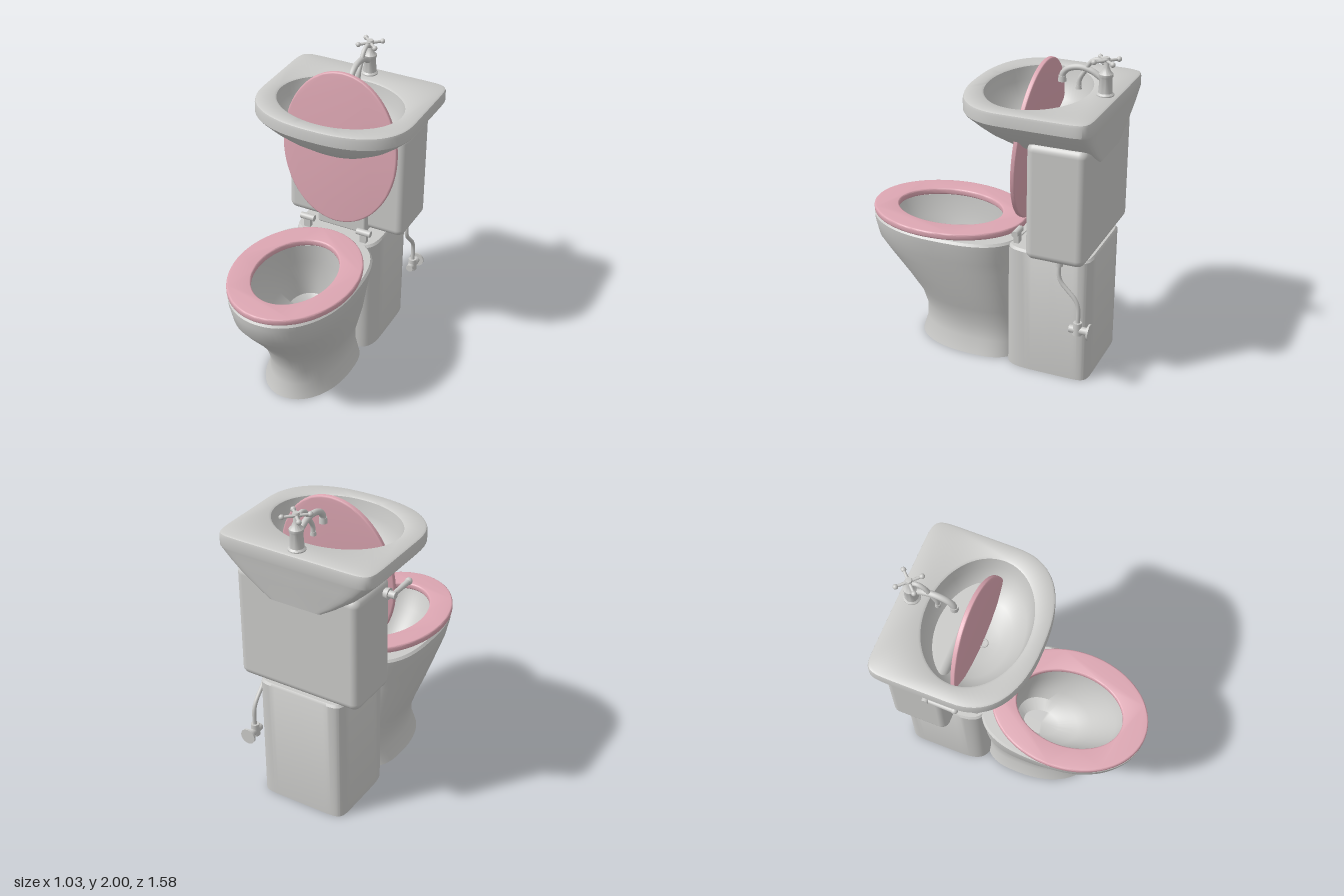
import * as THREE from 'three';
import { toCreasedNormals } from 'three/addons/utils/BufferGeometryUtils.js';
import { RoundedBoxGeometry } from 'three/addons/geometries/RoundedBoxGeometry.js';

const SEG = 72;

// Horizontal outline: half width w, back/middle/front z, corner squareness front and back
function ring([y, w, zb, zc, zf, nf, nb]) {
  const pts = [];
  const pow = (v, n) => Math.sign(v) * Math.pow(Math.abs(v), 2 / n);
  for (let j = 0; j < SEG; j++) {
    const t = (j / SEG) * Math.PI * 2, s = Math.sin(t);
    const n = s >= 0 ? nf : nb, depth = s >= 0 ? zf - zc : zc - zb;
    pts.push(w * pow(Math.cos(t), n), y, zc + depth * pow(s, n));
  }
  return pts;
}

// Skin through stacked outlines, closed at both ends
function loft(rows, crease = 0.6) {
  const pos = rows.flatMap(ring), index = [];
  for (let i = 0; i < rows.length - 1; i++) {
    for (let j = 0; j < SEG; j++) {
      const k = (j + 1) % SEG, a = i * SEG + j, b = i * SEG + k;
      index.push(a, a + SEG, b + SEG, a, b + SEG, b);
    }
  }
  const caps = [[rows[0], 0, false], [rows.at(-1), (rows.length - 1) * SEG, true]];
  for (const [row, base, up] of caps) {
    const c = pos.length / 3;
    pos.push(0, row[0], row[3]);
    for (let j = 0; j < SEG; j++) {
      const a = base + j, b = base + (j + 1) % SEG;
      index.push(c, up ? b : a, up ? a : b);
    }
  }
  const g = new THREE.BufferGeometry();
  g.setAttribute('position', new THREE.Float32BufferAttribute(pos, 3));
  g.setIndex(index);
  return toCreasedNormals(g, crease);
}

// Flat oval plate with softened rim, optionally with an oval hole
function ovalPlate(rx, ry, thick, hole) {
  const b = 0.01, shape = new THREE.Shape().absellipse(0, 0, rx - b, ry - b, 0, Math.PI * 2);
  if (hole) {
    shape.holes.push(new THREE.Path().absellipse(0, hole[2], hole[0] + b, hole[1] + b, 0, Math.PI * 2, true));
  }
  const g = new THREE.ExtrudeGeometry(shape, {
    depth: thick - 2 * b, bevelSize: b, bevelThickness: b, bevelSegments: 3, curveSegments: 36,
  });
  g.translate(0, 0, b - thick / 2);
  return toCreasedNormals(g, 0.6);
}

export function createModel() {
  const model = new THREE.Group();
  model.name = 'toiletWithBasin';
  const ceramic = new THREE.MeshStandardMaterial({ color: 0xcacac8 });
  ceramic.name = 'paleGrey';
  const pink = new THREE.MeshStandardMaterial({ color: 0xdca6b2 });
  pink.name = 'pink';

  const add = (name, geometry, material = ceramic, x = 0, y = 0, z = 0, parent = model) => {
    const m = new THREE.Mesh(geometry, material);
    m.name = name;
    m.position.set(x, y, z);
    parent.add(m);
    return m;
  };
  const cyl = (r0, r1, len, axis = 'y') => {
    const g = new THREE.CylinderGeometry(r1, r0, len, 24);
    if (axis === 'x') g.rotateZ(-Math.PI / 2);
    if (axis === 'z') g.rotateX(Math.PI / 2);
    return g;
  };
  const tube = (pts, r) => new THREE.TubeGeometry(
    new THREE.CatmullRomCurve3(pts.map(p => new THREE.Vector3(...p)), false, 'centripetal'), 40, r, 14);

  // Bowl: outside upward, over the rim, then down the inside
  add('bowl', loft([
    [0, 0.27, -0.25, 0.05, 0.47, 2.1, 3],
    [0.1, 0.235, -0.25, 0.05, 0.44, 2.1, 3],
    [0.2, 0.23, -0.25, 0.05, 0.44, 2.1, 3],
    [0.32, 0.265, -0.25, 0.08, 0.475, 2.1, 3],
    [0.45, 0.305, -0.25, 0.13, 0.57, 2.1, 3],
    [0.6, 0.34, -0.25, 0.2, 0.7, 2.1, 3],
    [0.68, 0.36, -0.25, 0.23, 0.763, 2.1, 3],
    [0.78, 0.38, -0.26, 0.25, 0.785, 2.1, 3],
    [0.815, 0.383, -0.26, 0.25, 0.787, 2.1, 3],
    [0.83, 0.37, -0.25, 0.25, 0.775, 2.1, 3],
    [0.83, 0.26, -0.07, 0.285, 0.645, 2, 2],
    [0.7, 0.245, -0.08, 0.25, 0.59, 2, 2],
    [0.55, 0.19, -0.08, 0.18, 0.44, 2, 2.4],
    [0.45, 0.15, -0.07, 0.12, 0.35, 2, 2.6],
    [0.4, 0.08, -0.02, 0.1, 0.22, 2, 2],
  ]));

  // Rear pedestal
  const foot = [-0.75, -0.5, -0.19, 5, 9];
  add('pedestal', loft([
    [0, 0.29, ...foot], [0.81, 0.29, ...foot], [0.825, 0.28, -0.74, -0.5, -0.2, 5, 9],
  ]));

  // Cistern and its raised front panel
  add('cistern', new RoundedBoxGeometry(0.82, 0.74, 0.37, 5, 0.05), ceramic, 0, 1.2, -0.565);
  add('cisternFrontPanel', new RoundedBoxGeometry(0.34, 0.62, 0.09, 3, 0.015), ceramic, 0, 1.13, -0.38);

  // Wash basin: underside, thick rim, then hollow
  add('basin', loft([
    [1.425, 0.19, -0.757, -0.42, -0.235, 2.4, 14],
    [1.485, 0.285, -0.764, -0.38, -0.12, 2.3, 14],
    [1.56, 0.385, -0.774, -0.32, -0.02, 2.3, 14],
    [1.62, 0.45, -0.782, -0.29, 0.045, 2.3, 14],
    [1.68, 0.508, -0.788, -0.27, 0.093, 2.4, 14],
    [1.69, 0.515, -0.79, -0.27, 0.1, 2.4, 14],
    [1.75, 0.515, -0.79, -0.27, 0.1, 2.4, 14],
    [1.764, 0.511, -0.786, -0.27, 0.096, 2.4, 14],
    [1.77, 0.5, -0.775, -0.27, 0.085, 2.4, 14],
    [1.77, 0.42, -0.625, -0.3, 0.02, 2, 2],
    [1.762, 0.407, -0.612, -0.3, 0.007, 2, 2],
    [1.68, 0.395, -0.6, -0.3, -0.005, 2, 2],
    [1.57, 0.35, -0.56, -0.3, -0.04, 2, 2],
    [1.5, 0.25, -0.48, -0.3, -0.12, 2, 2],
    [1.465, 0.14, -0.4, -0.3, -0.19, 2, 2],
    [1.452, 0.04, -0.33, -0.29, -0.25, 2, 2],
  ]));
  add('drain', new THREE.TorusGeometry(0.025, 0.006, 8, 24).rotateX(Math.PI / 2), ceramic, 0, 1.455, -0.28);

  // Seat and raised lid
  add('seat', ovalPlate(0.39, 0.505, 0.042, [0.245, 0.345, 0]).rotateX(Math.PI / 2), pink, 0, 0.855, 0.285);
  add('lid', ovalPlate(0.39, 0.507, 0.03), pink, 0, 1.435, -0.3).rotation.x = -0.09;

  // Hinges
  for (const s of [-1, 1]) {
    add('hingeBarrel', cyl(0.021, 0.021, 0.095, 'x'), ceramic, s * 0.2, 0.893, -0.255);
    add('hingePost', new THREE.BoxGeometry(0.045, 0.07, 0.032), ceramic, s * 0.2, 0.85, -0.255);
  }

  // Flush lever on the cistern's right side
  add('leverFlange', cyl(0.035, 0.03, 0.03, 'x'), ceramic, -0.425, 1.49, -0.45);
  add('leverStem', cyl(0.022, 0.022, 0.07, 'x'), ceramic, -0.445, 1.49, -0.45);
  add('lever', cyl(0.014, 0.018, 0.19, 'z'), ceramic, -0.46, 1.49, -0.365);
  add('leverTip', new THREE.SphereGeometry(0.022, 16, 12), ceramic, -0.46, 1.49, -0.27);

  // Water supply pipe and wall valve
  const px = 0.355;
  add('supplyPipe', tube([[px, 0.85, -0.585], [px, 0.74, -0.585], [px, 0.7, -0.6], [px, 0.6, -0.69],
    [px, 0.55, -0.71], [px, 0.4, -0.71]], 0.013));
  add('supplyNut', cyl(0.022, 0.022, 0.03), ceramic, px, 0.82, -0.585);
  add('valveBody', cyl(0.03, 0.026, 0.08), ceramic, px, 0.41, -0.71);
  add('valveStem', cyl(0.024, 0.024, 0.13, 'z'), ceramic, px, 0.4, -0.725);
  add('wallFlange', cyl(0.05, 0.05, 0.012, 'z'), ceramic, px, 0.4, -0.784);

  // Tap: body, two curved spouts and cross handle
  const tap = new THREE.Group();
  tap.name = 'tap';
  tap.position.set(0, 1.765, -0.71);
  model.add(tap);
  const profile = [[0, 0], [0.052, 0], [0.052, 0.012], [0.042, 0.022], [0.037, 0.11], [0.042, 0.12],
    [0.042, 0.135], [0.028, 0.15], [0.018, 0.175], [0.014, 0.21], [0.022, 0.22], [0.018, 0.233], [0, 0.235]];
  add('tapBody', toCreasedNormals(
    new THREE.LatheGeometry(profile.map(p => new THREE.Vector2(...p)), 28), 0.6), ceramic, 0, 0, 0, tap);
  add('spout', tube([[0, 0.1, 0.02], [0, 0.14, 0.09], [0, 0.153, 0.16], [0, 0.135, 0.23], [0, 0.1, 0.262],
    [0, 0.06, 0.266]], 0.019), ceramic, 0, 0, 0, tap);
  add('spoutNozzle', cyl(0.025, 0.022, 0.035), ceramic, 0, 0.07, 0.266, tap);
  add('innerSpout', tube([[0, 0.19, 0], [0, 0.212, 0.05], [0, 0.195, 0.09], [0, 0.13, 0.13],
    [0, 0.08, 0.158], [0, 0.03, 0.163]], 0.014), ceramic, 0, 0, 0, tap);
  add('innerNozzle', cyl(0.018, 0.016, 0.025), ceramic, 0, 0.032, 0.163, tap);
  for (let i = 0; i < 4; i++) {
    const a = Math.PI / 4 + i * Math.PI / 2, arm = new THREE.Group();
    arm.name = 'handleArm';
    arm.position.y = 0.212;
    arm.rotation.y = a;
    tap.add(arm);
    add('armBar', cyl(0.01, 0.008, 0.08, 'x'), ceramic, 0.04, 0, 0, arm);
    add('armKnob', new THREE.SphereGeometry(0.016, 14, 10), ceramic, 0.08, 0, 0, arm);
  }
  return model;
}
